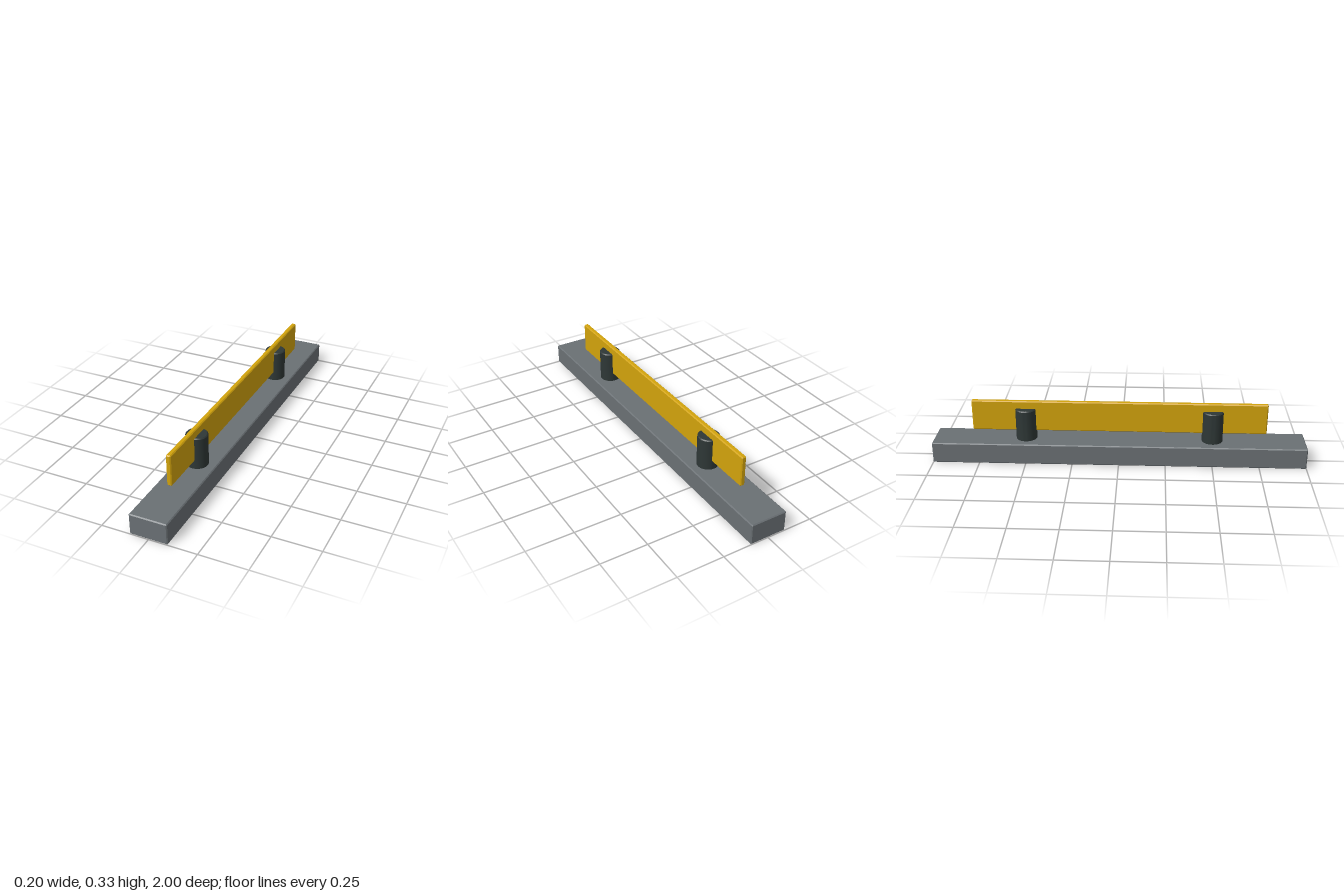
import * as THREE from 'three';
import { toCreasedNormals } from 'three/addons/utils/BufferGeometryUtils.js';
import { ConvexGeometry } from 'three/addons/geometries/ConvexGeometry.js';

// Box with every edge and corner chamfered by c
function chamferBox(w, h, d, c) {
  const half = [w / 2, h / 2, d / 2];
  const points = [];
  for (const sx of [-1, 1]) for (const sy of [-1, 1]) for (const sz of [-1, 1]) {
    for (let face = 0; face < 3; face++) {
      const p = half.map((v, i) => (i === face ? v : v - c));
      points.push(new THREE.Vector3(sx * p[0], sy * p[1], sz * p[2]));
    }
  }
  return new ConvexGeometry(points);
}

// Upright cylinder with chamfered rims, standing on y = 0
function chamferPost(r, h, c) {
  const profile = [[0, 0], [r - c, 0], [r, c], [r, h - c], [r - c, h], [0, h]]
    .map(([x, y]) => new THREE.Vector2(x, y));
  return toCreasedNormals(new THREE.LatheGeometry(profile, 48), 0.5);
}

function material(name, color) {
  const m = new THREE.MeshStandardMaterial({ color });
  m.name = name;
  return m;
}

export function createModel() {
  const model = new THREE.Group();
  model.name = 'railOnBase';
  const grey = material('steelGrey', 0x6a7074);
  const dark = material('darkGrey', 0x2e3736);
  const yellow = material('safetyYellow', 0xd2a30c);

  const add = (name, geometry, mat, x, y, z) => {
    const mesh = new THREE.Mesh(geometry, mat);
    mesh.name = name;
    mesh.position.set(x, y, z);
    model.add(mesh);
  };

  // Long base beam
  add('base', chamferBox(0.198, 0.114, 2, 0.005), grey, 0, 0.057, 0);

  // Two posts carrying the rail
  const post = chamferPost(0.056, 0.18, 0.005);
  add('frontPost', post, dark, 0, 0.106, 0.5);
  add('backPost', post, dark, 0, 0.106, -0.5);

  // Thin upright rail let into the posts
  add('rail', chamferBox(0.026, 0.168, 1.576, 0.005), yellow, 0, 0.244, 0);

  return model;
}
